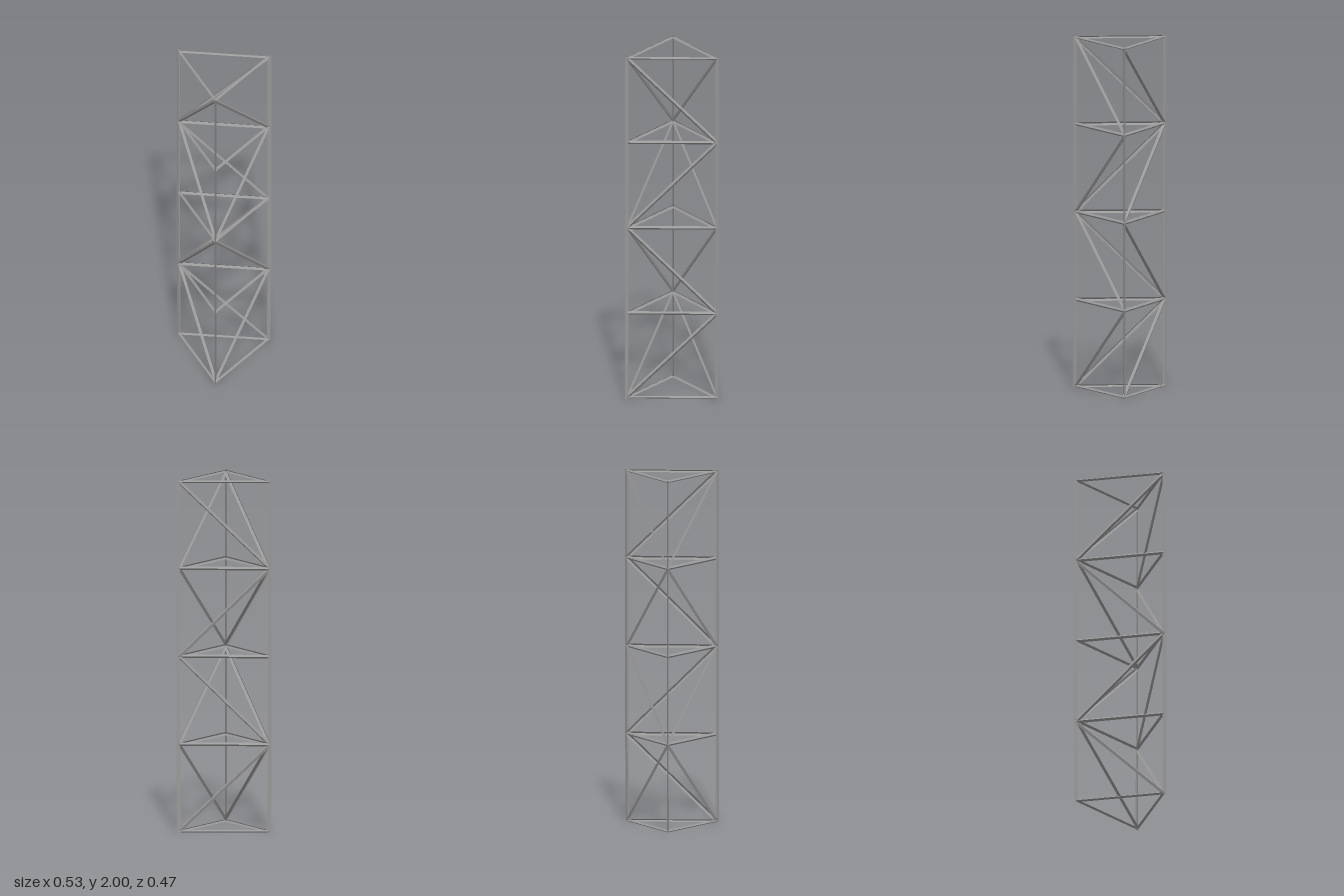
import * as THREE from 'three';

export function createModel() {
  const model = new THREE.Group();
  const steel = new THREE.MeshStandardMaterial({ color: 0x999999, side: THREE.DoubleSide });
  steel.name = 'grey steel';

  // Plan positions of the three corners
  const plan = { left: [-0.253, 0.219], right: [0.255, 0.223], back: [0, -0.221] };
  const node = (leg, y) => new THREE.Vector3(plan[leg][0], y, plan[leg][1]);

  // Open V-shaped angle bar from a to b, with its ridge facing outward
  function angleBar(name, a, b, out, width, depth) {
    const along = b.clone().sub(a).normalize();
    const ridge = out.clone().addScaledVector(along, -out.dot(along)).normalize();
    const side = new THREE.Vector3().crossVectors(along, ridge);
    const section = [[-width / 2, -depth / 2], [0, depth / 2], [width / 2, -depth / 2]];
    const at = (p, [s, d]) => p.clone().addScaledVector(side, s).addScaledVector(ridge, d);
    const points = [];
    for (let i = 0; i < 2; i++) {
      const a0 = at(a, section[i]), a1 = at(a, section[i + 1]);
      const b0 = at(b, section[i]), b1 = at(b, section[i + 1]);
      points.push(a0, a1, b1, a0, b1, b0);
    }
    const geometry = new THREE.BufferGeometry().setFromPoints(points);
    geometry.computeVertexNormals();
    const mesh = new THREE.Mesh(geometry, steel);
    mesh.name = name;
    model.add(mesh);
  }

  // Legs in four lengths, just outside the corners; some feet lean in slightly
  const foot = { left: [0, 0], right: [-0.004, -0.003], back: [0, 0.004] };
  for (const leg of Object.keys(plan)) {
    const out = node(leg, 0).normalize();
    for (let i = 0; i < 4; i++) {
      const a = node(leg, i / 2).addScaledVector(out, 0.003);
      const b = node(leg, (i + 1) / 2).addScaledVector(out, 0.003);
      if (i === 0) a.add(new THREE.Vector3(foot[leg][0], 0, foot[leg][1]));
      angleBar(leg + 'Leg' + (i + 1), a, b, out, 0.011, 0.021);
    }
  }

  // Horizontal rings and zigzag bracing on each of the three sides
  const sides = [['front', 'left', 'right'], ['leftSide', 'right', 'back'], ['rightSide', 'left', 'back']];
  for (const [name, from, to] of sides) {
    const out = node(from, 0).add(node(to, 0)).normalize();
    for (let i = 0; i <= 4; i++) {
      const end = i === 0 || i === 4;
      const y = i === 0 ? 0.007 : i === 4 ? 1.993 : i / 2;
      angleBar(name + 'Rail' + i, node(from, y), node(to, y), out, end ? 0.014 : 0.02, 0.011);
    }
    for (let i = 0; i < 4; i++) {
      const y0 = i === 0 ? 0.008 : i / 2, y1 = i === 3 ? 1.992 : (i + 1) / 2;
      const rising = i % 2 === 0;
      angleBar(name + 'Brace' + (i + 1), node(rising ? from : to, y0), node(rising ? to : from, y1), out, 0.022, 0.011);
    }
  }
  return model;
}
